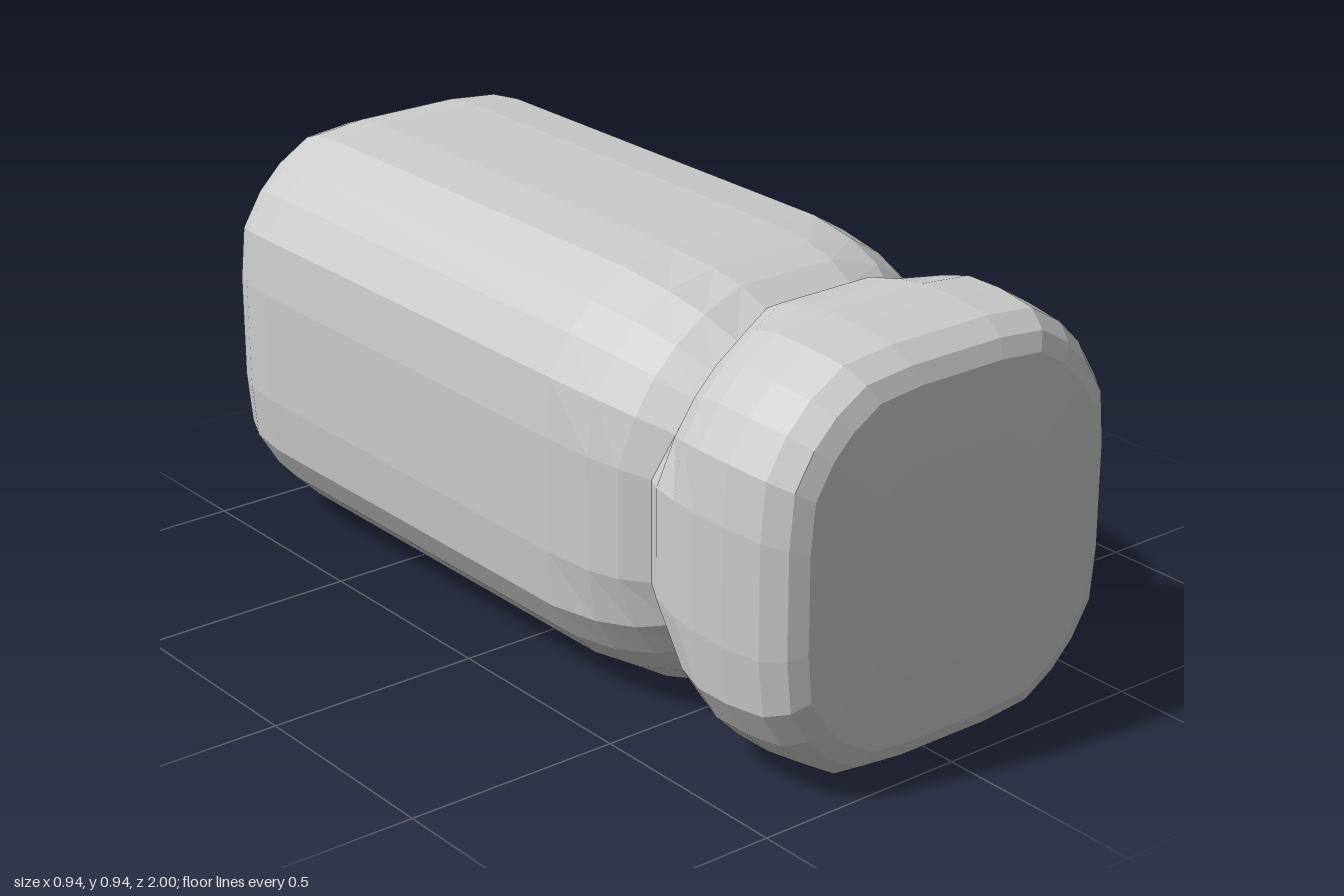
import * as THREE from 'three';

const CENTER_Y = 0.4725;
// One quadrant of the rounded-square outline, repeated four times
const QUADRANT = [[0.47, 0.13], [0.457, 0.26], [0.405, 0.345], [0.345, 0.405], [0.26, 0.457], [0.13, 0.47]];
const OUTLINE = [];
for (let q = 0; q < 4; q++) {
  for (const p of QUADRANT) OUTLINE.push(new THREE.Vector2(...p).rotateAround(new THREE.Vector2(), q * Math.PI / 2));
}

// Ring: z, outline scale, blend towards a circle (0..1), circle radius, z shift at the flat sides
function ringPoint([z, scale, round, radius, sideShift = 0], p) {
  const corner = THREE.MathUtils.clamp((p.length() - 0.487) / 0.043, 0, 1);
  const v = p.clone().multiplyScalar(scale).lerp(p.clone().setLength(radius), round);
  return [v.x, v.y + CENTER_Y, z + sideShift * (1 - corner)];
}

// Skin a list of rings, ordered so that surfaces face outwards
function loft(name, rings, material) {
  const n = OUTLINE.length;
  const positions = [];
  const index = [];
  rings.forEach((ring, i) => {
    for (let j = 0; j < n; j++) {
      positions.push(...ringPoint(ring, OUTLINE[j]));
      if (i === rings.length - 1) continue;
      const a = i * n + j;
      const b = i * n + (j + 1) % n;
      index.push(a, b, b + n, a, b + n, a + n);
    }
  });
  const geometry = new THREE.BufferGeometry();
  geometry.setAttribute('position', new THREE.Float32BufferAttribute(positions, 3));
  geometry.setIndex(index);
  geometry.computeVertexNormals();
  const mesh = new THREE.Mesh(geometry, material);
  mesh.name = name;
  return mesh;
}

export function createModel() {
  const group = new THREE.Group();
  group.name = 'hollowCappedBlock';
  const material = new THREE.MeshStandardMaterial({ color: 0xcccccc, flatShading: true, side: THREE.DoubleSide });

  // Hollow body: bore floor, bore wall, rim, outer wall, neck
  group.add(loft('body', [
    [0.3, 0, 1, 0.001],
    [0.28, 1, 1, 0.2],
    [0.18, 1, 1, 0.3],
    [-0.86, 1, 1, 0.32],
    [-0.94, 1, 1, 0.36, 0.02],
    [-0.99, 0.86, 0.6, 0.39, 0.035],
    [-1.0, 0.87, 0.1, 0.42, 0.03],
    [-0.97, 0.93, 0, 0.45],
    [-0.91, 0.98, 0, 0.47],
    [-0.82, 1, 0, 0.47],
    [0.25, 1, 0, 0.47],
    [0.38, 0.99, 0.25, 0.47],
    [0.48, 0.97, 0.6, 0.455, -0.02],
    [0.56, 0.94, 1, 0.43, -0.03],
  ], material));

  // Solid front cap, pinched at the neck and rounded at the face
  group.add(loft('frontCap', [
    [0.56, 0.94, 1, 0.43, -0.03],
    [0.6, 0.96, 0.7, 0.455, -0.02],
    [0.66, 0.985, 0.25, 0.47],
    [0.73, 1, 0, 0.47],
    [0.82, 1, 0, 0.47],
    [0.92, 0.975, 0, 0.47],
    [0.97, 0.91, 0, 0.45],
    [0.99, 0.83, 0, 0.4],
    [1.0, 0.5, 0, 0.3],
    [1.0, 0, 0, 0],
  ], material));

  return group;
}
